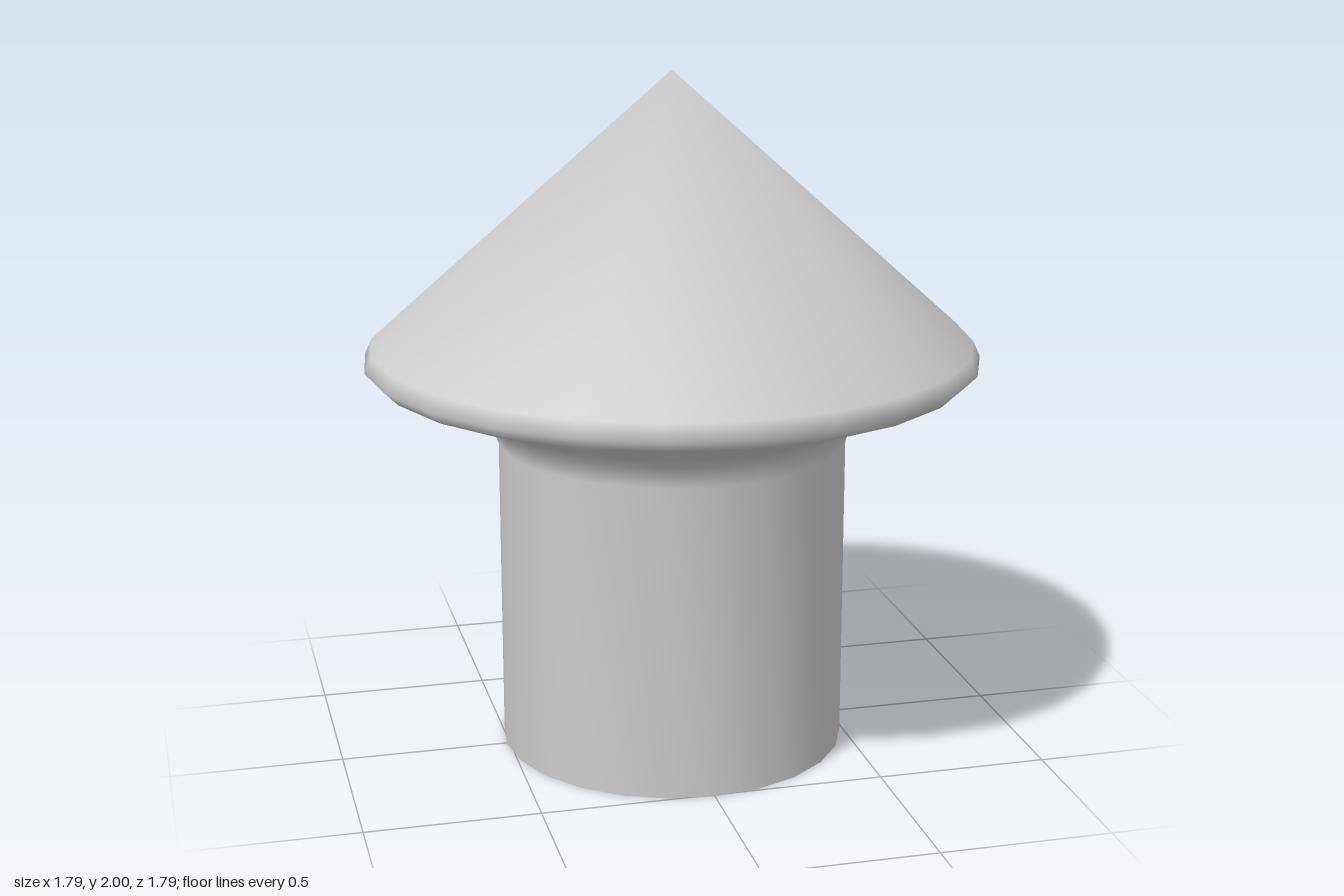
import * as THREE from 'three';
import { mergeVertices } from 'three/addons/utils/BufferGeometryUtils.js';

const SIDES = 24;

// Turned shell with welded seam and tip, so shading is smooth all over
function smoothLathe(profile) {
  const lathe = new THREE.LatheGeometry(profile.map(([r, y]) => new THREE.Vector2(r, y)), SIDES);
  lathe.deleteAttribute('normal');
  lathe.deleteAttribute('uv');
  const geometry = mergeVertices(lathe, 1e-4);
  geometry.computeVertexNormals();
  return geometry;
}

export function createModel() {
  const group = new THREE.Group();
  group.name = 'cappedPost';

  // Radius and height from the open foot up to the tip
  const profile = [
    [0.51, 0], [0.51, 0.925],                   // hollow stem
    [0.535, 0.99], [0.585, 1.03],               // flared neck
    [0.86, 1.135], [0.895, 1.17], [0.875, 1.215], // underside and rounded rim
    [0, 2],                                     // conical cap
  ];

  const shell = new THREE.Mesh(
    smoothLathe(profile),
    new THREE.MeshStandardMaterial({ color: 0xcccccc, side: THREE.DoubleSide })
  );
  shell.name = 'stemAndCap';
  group.add(shell);
  return group;
}
